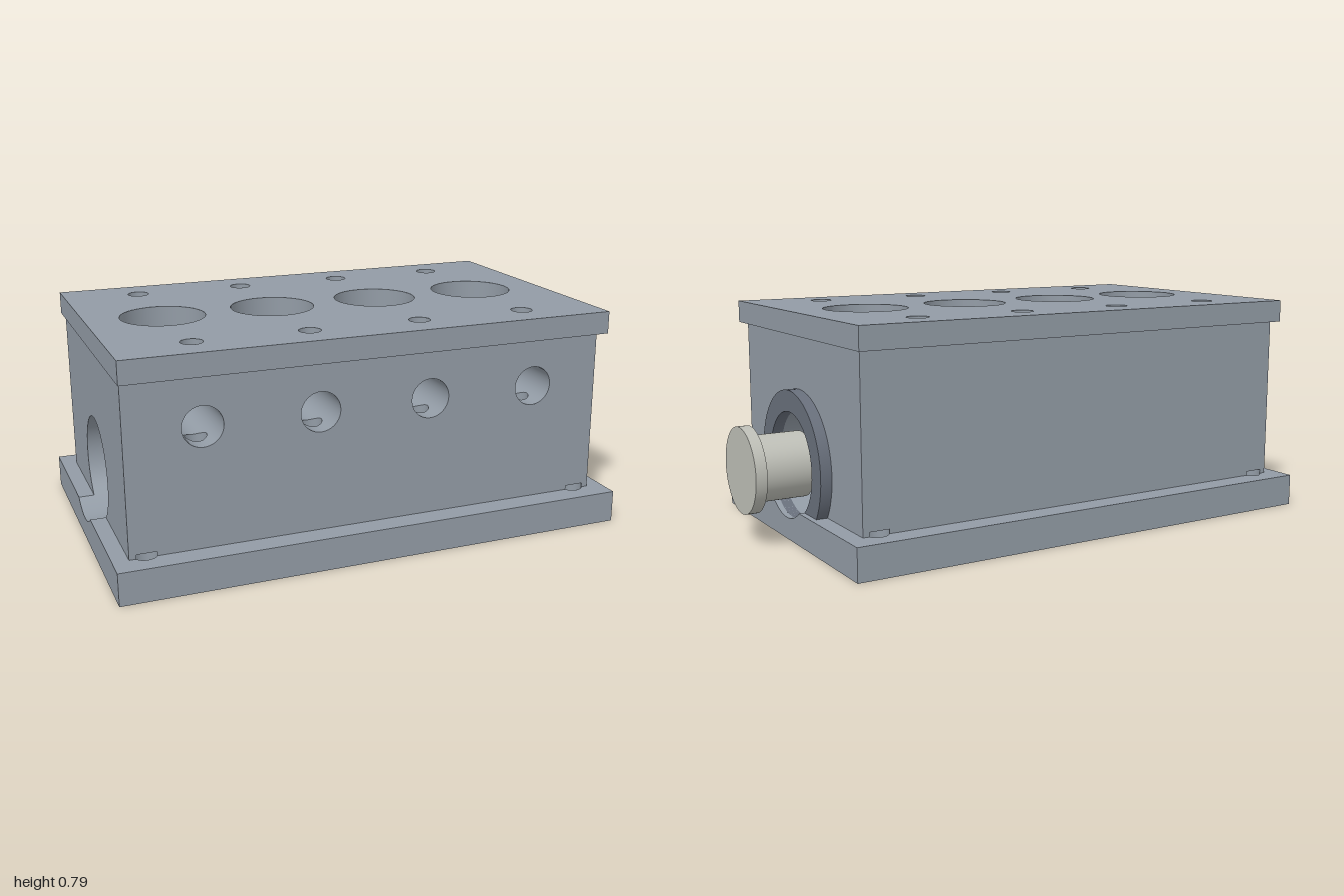
import * as THREE from 'three';
import { mergeGeometries, toCreasedNormals } from 'three/addons/utils/BufferGeometryUtils.js';

const { sin, cos, sqrt, asin, PI } = Math;
const SEG = 48;

// Main dimensions
const BASE = { x0: -1, x1: 0.84, y0: 0, y1: 0.115, z: 0.575 };
const BLOCK = { x0: -0.945, x1: 0.78, y0: 0.115, y1: 0.71, z: 0.49 };
const HEAD = { x0: -0.955, x1: 0.8, y0: 0.71, y1: 0.79, z: 0.53 };
const BORE_Y = 0.262, BORE_R = 0.185;          // long horizontal bore
const CYL_R = 0.15, CYL_X = [-0.684, -0.281, 0.121, 0.524]; // vertical bores
const PORT_Y = 0.535, PORT_R = 0.07;           // front ports
const BOLT_Z = 0.39, BOLT_R = 0.038, BOLT_Y = 0.4; // blind bolt holes in the head
const FOOT_X = [-0.887, 0.722], FOOT_Z = 0.47, FOOT_R = 0.04, FOOT_Y = 0.13;
const GROOVE_Z = sqrt(BORE_R ** 2 - (BORE_Y - BASE.y1) ** 2); // bore width at base top
const BETA = asin((BORE_Y - BASE.y1) / BORE_R);

// Flat face: a 2D shape placed in space by a mapping
function face(shape, map) {
  const g = new THREE.ShapeGeometry(shape, SEG).toNonIndexed();
  g.deleteAttribute('uv');
  const p = g.attributes.position;
  for (let i = 0; i < p.count; i++) p.setXYZ(i, ...map(p.getX(i), p.getY(i)));
  g.computeVertexNormals();
  return g;
}

// Ruled strip: fn(t) gives the two end points of each ruling
function strip(t0, t1, fn, n = SEG) {
  const pos = [], idx = [];
  for (let i = 0; i <= n; i++) {
    const [a, b] = fn(t0 + (t1 - t0) * i / n);
    pos.push(...a, ...b);
    if (i < n) idx.push(2 * i, 2 * i + 1, 2 * i + 2, 2 * i + 1, 2 * i + 3, 2 * i + 2);
  }
  const g = new THREE.BufferGeometry();
  g.setAttribute('position', new THREE.Float32BufferAttribute(pos, 3));
  g.setIndex(idx);
  g.computeVertexNormals();
  return g.toNonIndexed();
}

const poly = (pts) => new THREE.Shape(pts.map(([a, b]) => new THREE.Vector2(a, b)));
const rect = (a0, b0, a1, b1) => poly([[a0, b0], [a1, b0], [a1, b1], [a0, b1]]);
function drill(shape, x, y, r) {
  shape.holes.push(new THREE.Path().absarc(x, y, r, 0, 2 * PI, false));
}
// Vertical round wall between two heights
const tube = (x, z, r, y0, y1) => strip(0, 2 * PI, (t) => {
  const a = x + r * cos(t), b = z + r * sin(t);
  return [[a, y0, b], [a, y1, b]];
});
const level = (y) => (x, z) => [x, y, z];

// End panel with the bore cut out of its top or bottom edge
function endPanel(box, cutTop) {
  const far = cutTop ? box.y0 : box.y1, near = cutTop ? box.y1 : box.y0;
  const s = new THREE.Shape();
  s.moveTo(-box.z, far);
  s.lineTo(-box.z, near);
  s.lineTo(-GROOVE_Z, near);
  s.absarc(0, BORE_Y, BORE_R, PI + BETA, cutTop ? 2 * PI - BETA : -BETA, !cutTop);
  s.lineTo(box.z, near);
  s.lineTo(box.z, far);
  return [box.x0, box.x1].map((x) => face(s, (z, y) => [x, y, z]));
}

function basePlate() {
  const { x0, x1, y0, y1, z } = BASE;
  const parts = endPanel(BASE, true);
  const bottom = rect(x0, -z, x1, z);
  for (const s of [-1, 1]) {
    const top = rect(x0, GROOVE_Z, x1, z);
    for (const fx of FOOT_X) {
      drill(top, fx, FOOT_Z, FOOT_R);
      drill(bottom, fx, s * FOOT_Z, FOOT_R);
      parts.push(tube(fx, s * FOOT_Z, FOOT_R, y0, y1));
    }
    parts.push(face(top, (a, b) => [a, y1, s * b]));
    parts.push(face(rect(x0, y0, x1, y1), (a, b) => [a, b, s * z]));
  }
  parts.push(face(bottom, level(y0)));
  // groove left by the bore
  parts.push(strip(PI + BETA, 2 * PI - BETA, (t) => {
    const y = BORE_Y + BORE_R * sin(t), zz = BORE_R * cos(t);
    return [[x0, y, zz], [x1, y, zz]];
  }));
  return parts;
}

function blockWalls() {
  const { x0, x1, y0, y1, z } = BLOCK;
  const parts = endPanel(BLOCK, false);
  const edge = asin((z - FOOT_Z) / FOOT_R), w = FOOT_R * cos(edge);
  for (const s of [-1, 1]) {
    // long side with shallow notches over the foot holes
    const pts = [[x0, y0]];
    for (const fx of FOOT_X) pts.push([fx - w, y0], [fx - w, FOOT_Y], [fx + w, FOOT_Y], [fx + w, y0]);
    const side = poly([...pts, [x1, y0], [x1, y1], [x0, y1]]);
    if (s > 0) CYL_X.forEach((x) => drill(side, x, PORT_Y, PORT_R));
    parts.push(face(side, (a, b) => [a, b, s * z]));
    for (const fx of FOOT_X) {
      const arc = (t) => [fx + FOOT_R * cos(t), s * (FOOT_Z + FOOT_R * sin(t))];
      parts.push(strip(PI - edge, 2 * PI + edge, (t) => {
        const [a, b] = arc(t);
        return [[a, y0, b], [a, FOOT_Y, b]];
      }));
      const cap = new THREE.Shape().absarc(fx, FOOT_Z, FOOT_R, PI - edge, 2 * PI + edge, false);
      parts.push(face(cap, (a, b) => [a, FOOT_Y, s * b]));
    }
  }
  return parts;
}

function boreWalls() {
  const parts = [], { x0, x1 } = BLOCK;
  // horizontal bore: full-length sides, then the roof between the vertical bores
  const open = asin(CYL_R / BORE_R);
  for (const s of [-1, 1]) {
    parts.push(strip(open, PI / 2 + BETA, (t) => {
      const y = BORE_Y + BORE_R * cos(t), z = s * BORE_R * sin(t);
      return [[x0, y, z], [x1, y, z]];
    }));
  }
  for (let i = 0; i <= CYL_X.length; i++) {
    parts.push(strip(-PI / 2, PI / 2, (u) => {
      const z = CYL_R * sin(u), d = CYL_R * cos(u), y = BORE_Y + sqrt(BORE_R ** 2 - z * z);
      return [[i ? CYL_X[i - 1] + d : x0, y, z], [i < CYL_X.length ? CYL_X[i] - d : x1, y, z]];
    }));
  }
  const floor = (z) => BORE_Y + sqrt(BORE_R ** 2 - z * z);
  const win = asin(PORT_R / CYL_R), slot = asin(BOLT_R / PORT_R);
  for (const x of CYL_X) {
    // vertical bore, split above and below the port window
    parts.push(strip(win, 2 * PI - win, (t) => {
      const a = x + CYL_R * sin(t), z = CYL_R * cos(t);
      return [[a, floor(z), z], [a, HEAD.y1, z]];
    }));
    for (const s of [-1, 1]) {
      parts.push(strip(-PI / 2, PI / 2, (u) => {
        const d = PORT_R * sin(u), z = sqrt(CYL_R ** 2 - d * d);
        return [[x + d, PORT_Y + s * PORT_R * cos(u), z], [x + d, s > 0 ? HEAD.y1 : floor(z), z]];
      }));
      // port sides
      parts.push(strip(slot, PI - slot, (t) => {
        const d = s * PORT_R * sin(t), y = PORT_Y + PORT_R * cos(t);
        return [[x + d, y, sqrt(CYL_R ** 2 - d * d)], [x + d, y, BLOCK.z]];
      }));
      for (const e of [-1, 1]) {
        // port roof and floor, in front of and behind the bolt hole
        parts.push(strip(-PI / 2, PI / 2, (u) => {
          const d = BOLT_R * sin(u), y = PORT_Y + s * sqrt(PORT_R ** 2 - d * d);
          const zEnd = e > 0 ? BLOCK.z : sqrt(CYL_R ** 2 - d * d);
          return [[x + d, y, BOLT_Z + e * BOLT_R * cos(u)], [x + d, y, zEnd]];
        }, 24));
      }
      // front bolt hole above and below the port
      parts.push(strip(0, 2 * PI, (t) => {
        const d = BOLT_R * cos(t), z = BOLT_Z + BOLT_R * sin(t);
        return [[x + d, PORT_Y + s * sqrt(PORT_R ** 2 - d * d), z], [x + d, s > 0 ? HEAD.y1 : BOLT_Y, z]];
      }));
      const cap = new THREE.Shape().absarc(x, s * BOLT_Z, BOLT_R, 0, 2 * PI, false);
      parts.push(face(cap, level(BOLT_Y)));
    }
    parts.push(tube(x, -BOLT_Z, BOLT_R, BOLT_Y, HEAD.y1));
  }
  return parts;
}

function headPlate() {
  const { x0, x1, y0, y1, z } = HEAD;
  const top = rect(x0, -z, x1, z), under = rect(x0, -z, x1, z);
  for (const x of CYL_X) {
    drill(top, x, 0, CYL_R);
    for (const s of [-1, 1]) drill(top, x, s * BOLT_Z, BOLT_R);
  }
  under.holes.push(rect(BLOCK.x0, -BLOCK.z, BLOCK.x1, BLOCK.z));
  const parts = [face(top, level(y1)), face(under, level(y0))];
  for (const s of [-1, 1]) parts.push(face(rect(x0, y0, x1, y1), (a, b) => [a, b, s * z]));
  for (const x of [x0, x1]) parts.push(face(rect(-z, y0, z, y1), (a, b) => [x, b, a]));
  return parts;
}

// Turned part lying along x; profile points are [radius, x]
function turned(profile) {
  const g = new THREE.LatheGeometry(profile.map(([r, x]) => new THREE.Vector2(r, x)), 64);
  return toCreasedNormals(g, 0.6).rotateZ(-PI / 2).translate(0, BORE_Y, 0);
}

export function createModel() {
  const model = new THREE.Group();
  const add = (name, geometry, color, side = THREE.FrontSide) => {
    const mesh = new THREE.Mesh(geometry, new THREE.MeshStandardMaterial({ color, side }));
    mesh.name = name;
    model.add(mesh);
  };
  const housing = { basePlate, blockWalls, boreWalls, headPlate };
  for (const [name, build] of Object.entries(housing)) {
    add(name, mergeGeometries(build()), 0x929ba5, THREE.DoubleSide);
  }
  add('flangeRing', turned([[0.185, 0.78], [0.26, 0.78], [0.26, 0.82], [0.185, 0.82], [0.185, 0.78]]), 0x686f7b);
  add('shaft', turned([[0, 0.78], [0.115, 0.78], [0.115, 0.96], [0.15, 0.96], [0.15, 1], [0, 1]]), 0xbdbeb6);
  return model;
}
